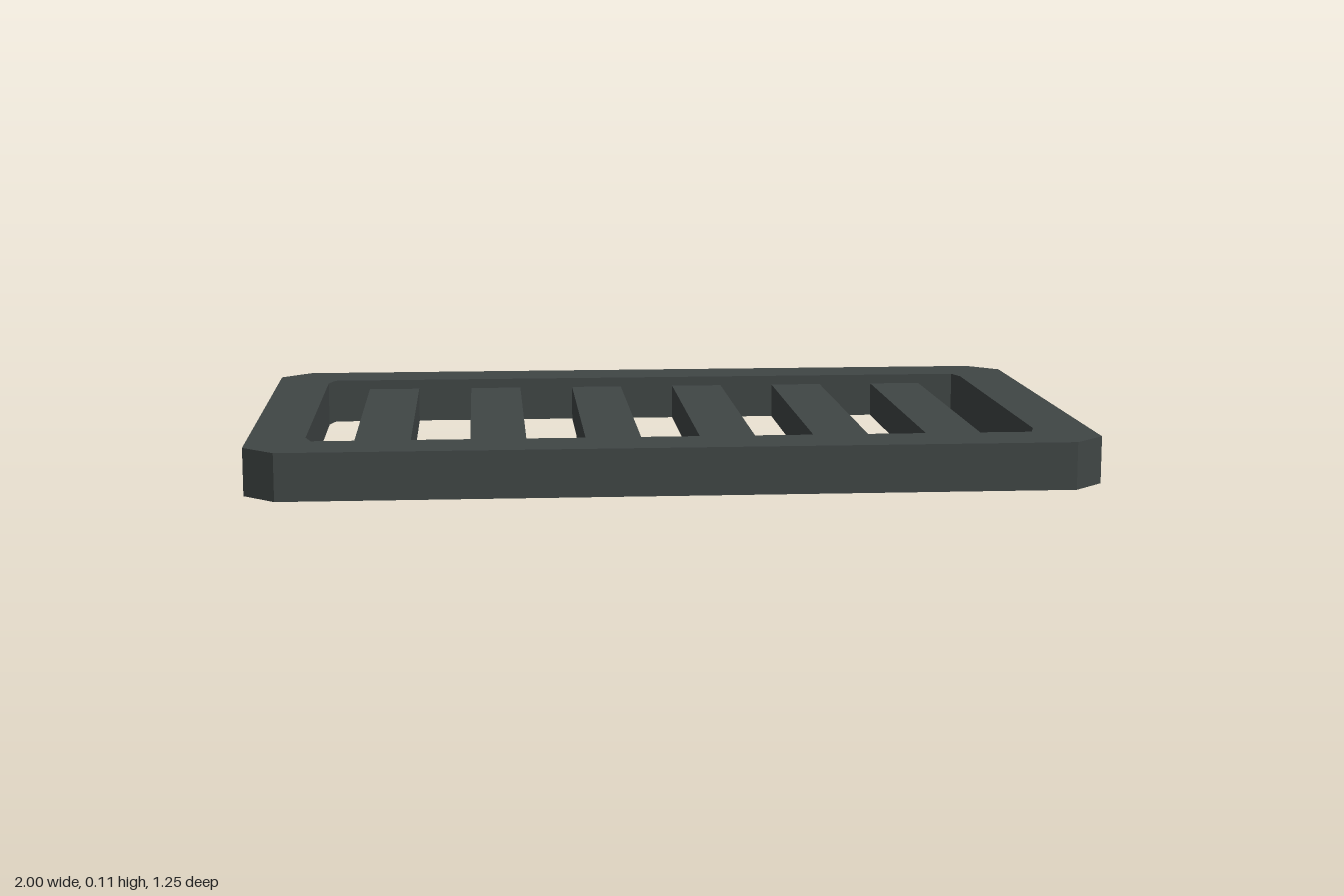
import * as THREE from 'three';

const HEIGHT = 0.1125;

// Rectangle with cut corners, anticlockwise seen from above
function cutRectangle(x, z, cutX, cutZ) {
  return [
    [x, z - cutZ], [x - cutX, z], [-x + cutX, z], [-x, z - cutZ],
    [-x, -z + cutZ], [-x + cutX, -z], [x - cutX, -z], [x, -z + cutZ],
  ].map(([a, b]) => new THREE.Vector2(a, b));
}

// Thin upright wall following a closed outline
function wallGeometry(outline) {
  const positions = [];
  outline.forEach((p, i) => {
    const q = outline[(i + 1) % outline.length];
    const corners = [[p, 0], [q, 0], [q, HEIGHT], [p, 0], [q, HEIGHT], [p, HEIGHT]];
    for (const [v, y] of corners) positions.push(v.x, y, -v.y);
  });
  const geometry = new THREE.BufferGeometry();
  geometry.setAttribute('position', new THREE.Float32BufferAttribute(positions, 3));
  geometry.computeVertexNormals();
  return geometry;
}

export function createModel() {
  const group = new THREE.Group();
  group.name = 'drainGrate';
  const iron = new THREE.MeshStandardMaterial({ color: 0x404645, side: THREE.DoubleSide });
  iron.name = 'darkIron';

  const add = (name, geometry) => {
    const mesh = new THREE.Mesh(geometry, iron);
    mesh.name = name;
    group.add(mesh);
    return mesh;
  };

  // Frame: a flat top ring with thin skirts, open underneath
  const outer = cutRectangle(1, 0.624, 0.076, 0.074);
  const inner = cutRectangle(0.865, 0.475, 0.015, 0.05);
  const ring = new THREE.Shape(outer);
  ring.holes.push(new THREE.Path(inner));
  add('frameTop', new THREE.ShapeGeometry(ring).rotateX(-Math.PI / 2).translate(0, HEIGHT, 0));
  add('frameOuterWall', wallGeometry(outer));
  add('frameInnerWall', wallGeometry([...inner].reverse()));

  // Six slats set slightly below the frame top
  const slatHeight = 0.088;
  const slat = new THREE.BoxGeometry(0.134, slatHeight, 0.956);
  for (let i = 0; i < 6; i++) {
    add('slat' + (i + 1), slat).position.set((i - 2.5) * 0.276, slatHeight / 2, 0);
  }
  return group;
}
